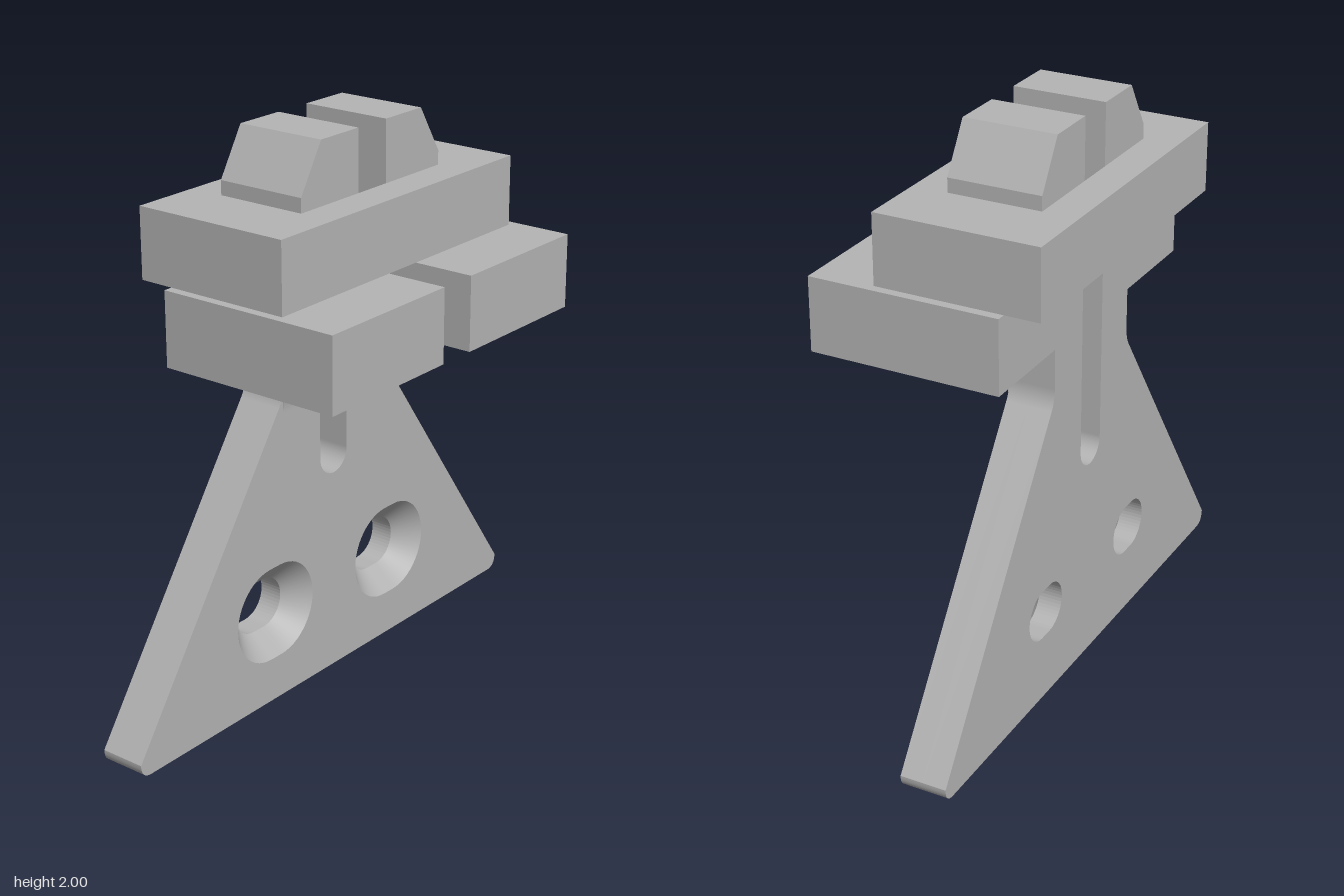
import * as THREE from 'three';

const BACK = -0.275, FRONT = -0.11, SINK = -0.19; // plate faces and countersink depth
const SLOT = 0.072, NECK = 0.265;
const HOLE = { x: 0.317, y: 0.33, flat: 0.026 };

// Stadium-shaped loop of points around a hole centre
function stadium(cx, cy, r, flat, n = 24) {
  const pts = [];
  for (let i = 0; i <= n; i++) {
    const a = -Math.PI / 2 + (i / n) * Math.PI;
    pts.push(new THREE.Vector2(cx + flat + r * Math.cos(a), cy + r * Math.sin(a)));
  }
  for (let i = 0; i <= n; i++) {
    const a = Math.PI / 2 + (i / n) * Math.PI;
    pts.push(new THREE.Vector2(cx - flat + r * Math.cos(a), cy + r * Math.sin(a)));
  }
  return pts;
}

// Triangular plate with neck, rounded corners and a central slot
function plateShape(holeRadius) {
  const s = new THREE.Shape();
  s.moveTo(-0.955, 0);
  s.lineTo(0.955, 0);
  s.quadraticCurveTo(1, 0.002, 1, 0.05);
  s.lineTo(0.285, 1.07);
  s.quadraticCurveTo(NECK, 1.1, NECK, 1.14);
  s.lineTo(NECK, 1.28);
  s.lineTo(SLOT, 1.28);
  s.lineTo(SLOT, 0.742 + SLOT);
  s.absarc(0, 0.742 + SLOT, SLOT, 0, Math.PI, true);
  s.lineTo(-SLOT, 1.28);
  s.lineTo(-NECK, 1.28);
  s.lineTo(-NECK, 1.14);
  s.quadraticCurveTo(-NECK, 1.1, -0.285, 1.07);
  s.lineTo(-1, 0.05);
  s.quadraticCurveTo(-1, 0.002, -0.955, 0);
  for (const side of [-1, 1]) {
    s.holes.push(new THREE.Path(stadium(side * HOLE.x, HOLE.y, holeRadius, HOLE.flat)));
  }
  return s;
}

function extrude(shape, z0, z1) {
  const g = new THREE.ExtrudeGeometry(shape, { depth: z1 - z0, bevelEnabled: false, curveSegments: 24 });
  return g.translate(0, 0, z0);
}

// Sloped wall between the large front opening and the small back opening
function countersink(cx) {
  const outer = stadium(cx, HOLE.y, 0.171, HOLE.flat);
  const inner = stadium(cx, HOLE.y, 0.091, HOLE.flat);
  const pos = [], idx = [], n = outer.length;
  for (let i = 0; i < n; i++) {
    pos.push(outer[i].x, outer[i].y, FRONT, inner[i].x, inner[i].y, SINK);
    const a = 2 * i, b = 2 * ((i + 1) % n);
    idx.push(a, b, a + 1, b, b + 1, a + 1);
  }
  const g = new THREE.BufferGeometry();
  g.setAttribute('position', new THREE.Float32BufferAttribute(pos, 3));
  g.setIndex(idx);
  g.computeVertexNormals();
  return g;
}

export function createModel() {
  const root = new THREE.Group();
  root.name = 'clampBracket';
  const grey = new THREE.MeshStandardMaterial({ color: 0xb4b4b4 });
  grey.name = 'grey';
  const greyOpen = grey;
  greyOpen.side = THREE.DoubleSide;
  const add = (name, geometry) => {
    const m = new THREE.Mesh(geometry, grey);
    m.name = name;
    root.add(m);
    return m;
  };

  // Mounting plate in two layers, small holes behind and large ones in front
  add('plateBack', extrude(plateShape(0.091), BACK, SINK));
  add('plateFront', extrude(plateShape(0.171), SINK, FRONT));

  for (const side of [-1, 1]) {
    const label = side > 0 ? 'left' : 'right';
    add(label + 'Countersink', countersink(side * HOLE.x));

    // Jaw block, separated from its twin by the slot
    const jaw = new THREE.BoxGeometry(0.638 - SLOT, 0.26, 0.4 - BACK);
    jaw.translate(side * (0.638 + SLOT) / 2, 1.41, (0.4 + BACK) / 2);
    add(label + 'Jaw', jaw);

    // Concave fillet under the jaw, extruded across the neck
    const r = 0.235;
    const f = new THREE.Shape();
    f.moveTo(-FRONT, 1.28);
    f.lineTo(-FRONT, 1.28 - r);
    f.absarc(-FRONT - r, 1.28 - r, r, 0, Math.PI / 2, false);
    f.lineTo(-FRONT, 1.28);
    const fillet = extrude(f, 0, NECK - SLOT);
    fillet.rotateY(Math.PI / 2); // profile x becomes -z, depth becomes +x
    fillet.translate(side > 0 ? SLOT : -NECK, 0, 0);
    add(label + 'Fillet', fillet);

    // Snap post through the clamp plate with a chamfered hook on top
    const hook = new THREE.Shape([
      [SLOT, 1.54], [0.26, 1.54], [0.26, 1.785], [0.36, 1.785],
      [0.36, 1.835], [0.26, 2], [SLOT, 2],
    ].map(([x, y]) => new THREE.Vector2(side * x, y)));
    add(label + 'SnapHook', extrude(hook, BACK, 0.055));
  }

  // Clamp plate with a rectangular window around the posts
  const rect = (S, x, y0, y1) => new S([[-x, y0], [x, y0], [x, y1], [-x, y1]]
    .map(([a, b]) => new THREE.Vector2(a, b)));
  const frame = rect(THREE.Shape, 0.606, -0.18, 0.4);
  frame.holes.push(rect(THREE.Path, 0.26, -0.055, -BACK));
  const clamp = extrude(frame, 0, 0.245);
  clamp.rotateX(-Math.PI / 2); // profile y becomes -z, depth becomes +y
  clamp.translate(0, 1.54, 0);
  add('clampPlate', clamp);

  return root;
}
